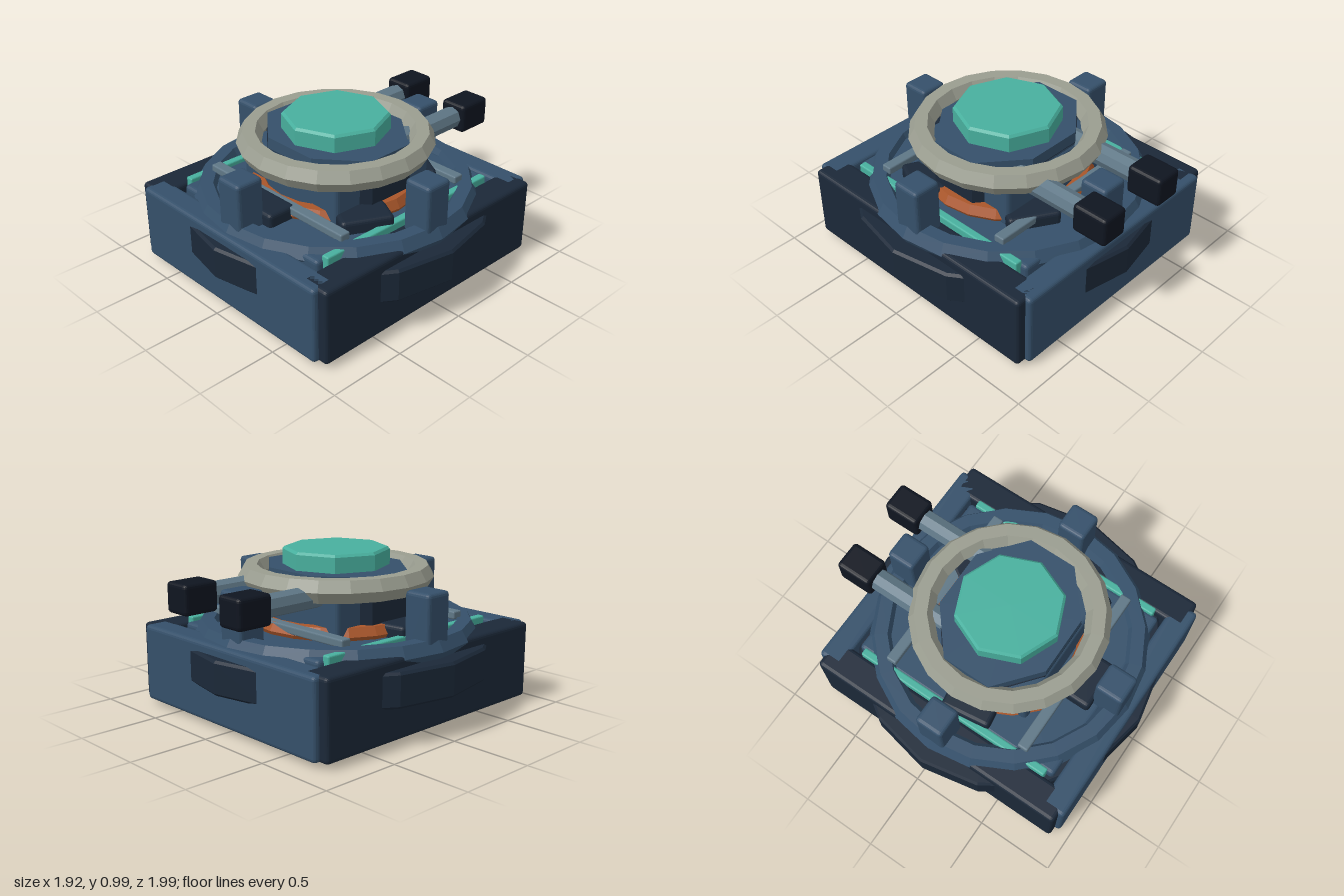
import * as THREE from 'three';
import { RoundedBoxGeometry } from 'three/addons/geometries/RoundedBoxGeometry.js';

const mat = (color) => new THREE.MeshStandardMaterial({ color, flatShading: true });
const M = {
  blue: mat(0x35506a), dark: mat(0x1b2838), black: mat(0x0f1520), teal: mat(0x48b09e),
  beige: mat(0x9a9d90), steel: mat(0x5f7786), copper: mat(0xa9562a),
};

export function createModel() {
  const model = new THREE.Group();
  model.name = 'device';
  const body = new THREE.Group();
  body.name = 'body';
  body.position.z = 0.033;
  model.add(body);

  const add = (name, geometry, material, x = 0, y = 0, z = 0) => {
    const mesh = new THREE.Mesh(geometry, material);
    mesh.name = name;
    mesh.position.set(x, y, z);
    body.add(mesh);
    return mesh;
  };
  // Box with softened edges, given by centre x/z and a y range
  const block = (name, material, w, y0, y1, d, x = 0, z = 0, r = 0.025) =>
    add(name, new RoundedBoxGeometry(w, y1 - y0, d, 2, r), material, x, (y0 + y1) / 2, z);
  // Many-sided solid disc with chamfered rims, one corner on each axis
  const disc = (name, material, radius, y0, y1, sides, bevel) => {
    const profile = [[0, y0], [radius - bevel, y0], [radius, y0 + bevel],
      [radius, y1 - bevel], [radius - bevel, y1], [0, y1]];
    return add(name, new THREE.LatheGeometry(profile.map((p) => new THREE.Vector2(...p)), sides), material);
  };
  // Horizontal ring with a six-sided section
  const ring = (name, material, radius, tube, y, sides = 20) =>
    add(name, new THREE.TorusGeometry(radius, tube, 6, sides).rotateX(Math.PI / 2), material, 0, y);

  // Lower case
  block('basePlate', M.black, 1.28, 0, 0.14, 1.48, 0, 0, 0.015);
  block('innerBody', M.blue, 1.2, 0.06, 0.525, 1.43);
  for (const s of [-1, 1]) {
    block('sidePanel', M.dark, 0.2, 0.03, 0.51, 1.73, s * 0.73, 0);
    block('endPanel', M.blue, 1.54, 0.03, 0.51, 0.16, 0, s * 0.82);
    block('glowStrip', M.teal, 0.05, 0.44, 0.55, 1.34, s * 0.612, 0, 0.01);
    block('crossBar', M.steel, 1.16, 0.55, 0.6, 0.07, 0, s * 0.48, 0.01);
  }
  disc('beltBand', M.dark, 0.96, 0.24, 0.45, 16, 0.015);

  // Top ring and its four posts
  ring('topRing', M.blue, 0.795, 0.081, 0.49);
  for (let i = 0; i < 4; i++) {
    const a = (i * Math.PI) / 2;
    block('post', M.blue, 0.185, 0.44, 0.83, 0.185, Math.sin(a) * 0.745, Math.cos(a) * 0.745);
  }

  // Copper coil and the clamps around it
  ring('coil', M.copper, 0.48, 0.06, 0.548);
  for (const [a, r] of [[0, 0.57], [1.1, 0.54], [2.6, 0.5], [4.85, 0.52]]) {
    const clamp = block('coilClamp', M.dark, 0.32, 0.48, 0.605, 0.2, Math.sin(a) * r, Math.cos(a) * r);
    clamp.rotation.y = a;
  }

  // Central housing
  const collar = add('collar', new THREE.CylinderGeometry(0.505, 0.505, 0.26, 8), M.dark, 0, 0.68);
  collar.geometry.rotateY(Math.PI / 8).scale(1, 1, 0.81);
  block('housing', M.blue, 0.82, 0.5, 0.8, 0.78, 0, 0, 0.03);
  const cover = add('housingCover', new THREE.CylinderGeometry(0.49, 0.5, 0.26, 8), M.blue, 0, 0.75);
  cover.geometry.rotateY(Math.PI / 8).scale(1, 1, 0.83);

  // Rim and push button
  ring('rim', M.beige, 0.527, 0.078, 0.822);
  disc('button', M.teal, 0.33, 0.86, 0.99, 8, 0.015);

  // Rear handles
  for (const s of [-1, 1]) {
    add('handleRod', new THREE.CylinderGeometry(0.07, 0.07, 0.6, 8).rotateX(Math.PI / 2),
      M.steel, s * 0.24, 0.775, -0.58);
    block('handleGrip', M.black, 0.185, 0.685, 0.87, 0.235, s * 0.24, -0.915);
  }
  return model;
}
